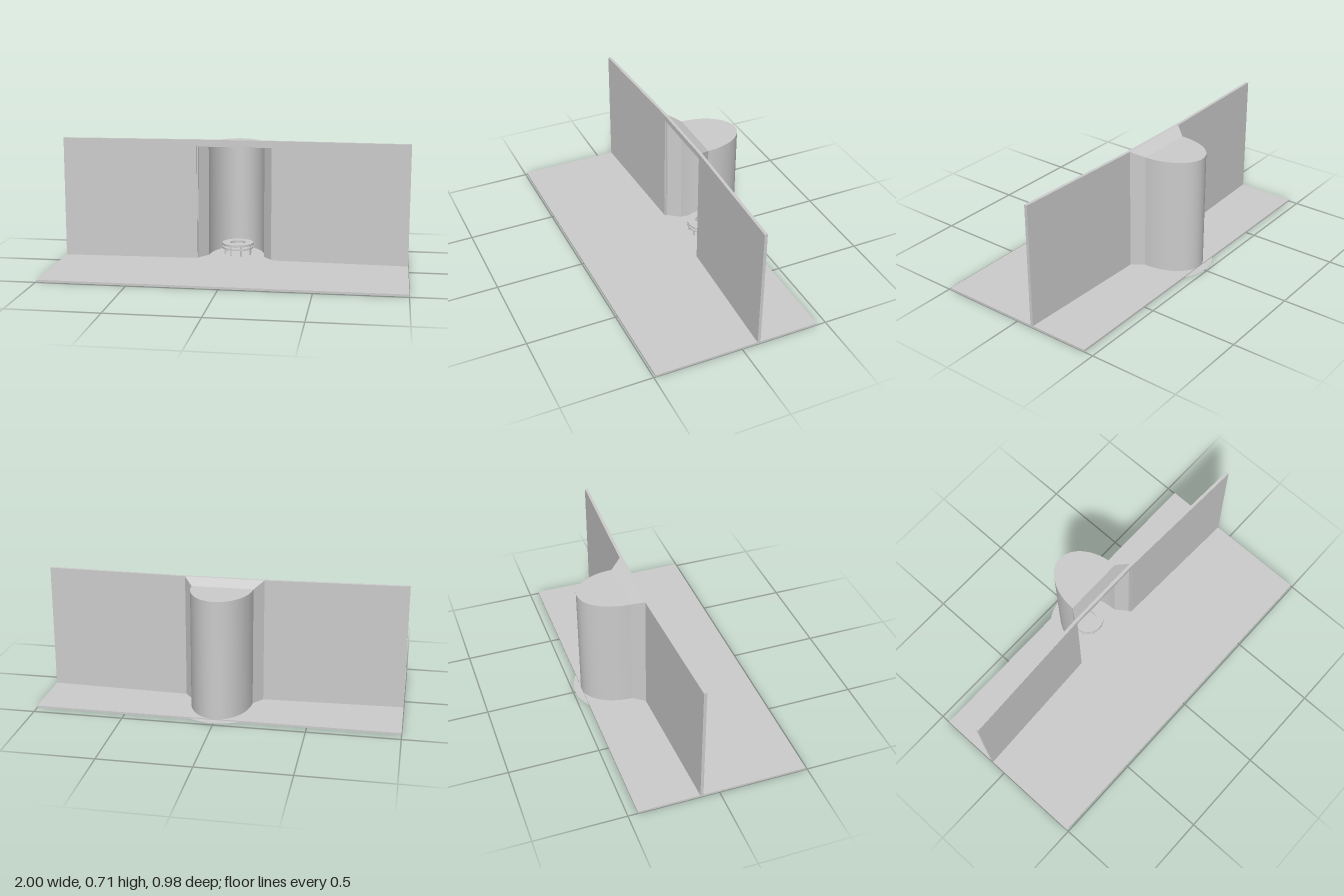
import * as THREE from 'three';
import { toCreasedNormals } from 'three/addons/utils/BufferGeometryUtils.js';
import { ConvexGeometry } from 'three/addons/geometries/ConvexGeometry.js';

const FLOOR = 0.012, CEIL = 0.677, TOP = 0.71, TABLE_Z = -0.265;
const mat = new THREE.MeshStandardMaterial({ color: 0xcccccc });
const thin = new THREE.MeshStandardMaterial({ color: 0xcccccc, side: THREE.DoubleSide });

export function createModel() {
  const model = new THREE.Group();

  function add(name, geometry, parent = model, material = mat) {
    const mesh = new THREE.Mesh(geometry, material);
    mesh.name = name;
    parent.add(mesh);
    return mesh;
  }

  // Raises a plan outline of [x, depth behind z = 0] points from y0 to y1
  function raise(points, y0, y1) {
    const shape = new THREE.Shape(points.map(([x, d]) => new THREE.Vector2(x, d)));
    const geo = new THREE.ExtrudeGeometry(shape, { depth: y1 - y0, bevelEnabled: false });
    geo.rotateX(-Math.PI / 2).translate(0, y0, 0);
    return toCreasedNormals(geo, 0.4);
  }

  // Flat ring with a hole
  function ring(outer, inner, y0, y1) {
    const profile = [[inner, y0], [outer, y0], [outer, y1], [inner, y1], [inner, y0]];
    const geo = new THREE.LatheGeometry(profile.map(p => new THREE.Vector2(...p)), 24);
    return toCreasedNormals(geo, 0.5).translate(0, 0, TABLE_Z);
  }

  // Plan of the niche: splayed jambs running into a half-ellipse
  function nichePlan(inset) {
    const pts = [[0.22 - inset, 0.125]];
    pts.push([0.22 - inset, 0.135]);
    for (let i = 0; i <= 32; i++) {
      const a = Math.PI * i / 32;
      pts.push([(0.17 - inset) * Math.cos(a), 0.2 + (0.25 - inset) * Math.sin(a)]);
    }
    pts.push([-0.22 + inset, 0.135], [-0.22 + inset, 0.125]);
    return pts;
  }

  // Floor slab with a thin round plate showing behind it
  add('floor', new THREE.BoxGeometry(2, FLOOR, 0.937).translate(0, FLOOR / 2, 0.0215));
  add('nicheFloorPlate', new THREE.CircleGeometry(0.24, 40)
    .rotateX(-Math.PI / 2).translate(0, 0.006, -0.25), model, thin);

  // Slightly slanted wall panels on both sides of the opening
  for (const s of [1, -1]) {
    add(s > 0 ? 'leftWall' : 'rightWall', raise(
      [[s * 0.22, 0.118], [s, 0.09], [s, 0.107], [s * 0.22, 0.135]], FLOOR, TOP));
  }
  add('lintel', new THREE.BoxGeometry(0.44, TOP - CEIL, 0.017)
    .translate(0, (TOP + CEIL) / 2, -0.1265));

  // Niche shell, its ceiling and the sloping roof behind the lintel
  const outline = nichePlan(0);
  add('nicheWall', raise([...outline, ...nichePlan(0.007).reverse()], FLOOR, CEIL - 0.008));
  add('nicheCeiling', raise(outline, CEIL - 0.008, CEIL));
  const wedge = [];
  for (const s of [1, -1]) {
    wedge.push(new THREE.Vector3(s * 0.22, CEIL, -0.135),
      new THREE.Vector3(s * 0.22, TOP, -0.135),
      new THREE.Vector3(s * 0.17, CEIL, -0.2));
  }
  add('slopingRoof', new ConvexGeometry(wedge));

  // Ceiling ring above the table
  add('ceilingRing', ring(0.1, 0.05, 0.655, CEIL - 0.008));

  // Round table: top ring, lower ring and legs with feet
  const table = new THREE.Group();
  table.name = 'ringTable';
  model.add(table);
  add('tableTop', ring(0.092, 0.045, 0.068, 0.08), table);
  add('lowerRing', ring(0.09, 0.05, 0.046, 0.056), table);
  for (let i = 0; i < 8; i++) {
    const a = (i + 0.5) * Math.PI / 4;
    const x = 0.08 * Math.cos(a), z = TABLE_Z + 0.08 * Math.sin(a);
    add('leg', new THREE.CylinderGeometry(0.004, 0.004, 0.058, 8).translate(x, 0.041, z), table);
    add('foot', new THREE.CylinderGeometry(0.007, 0.007, 0.004, 8).translate(x, 0.014, z), table);
  }
  return model;
}
